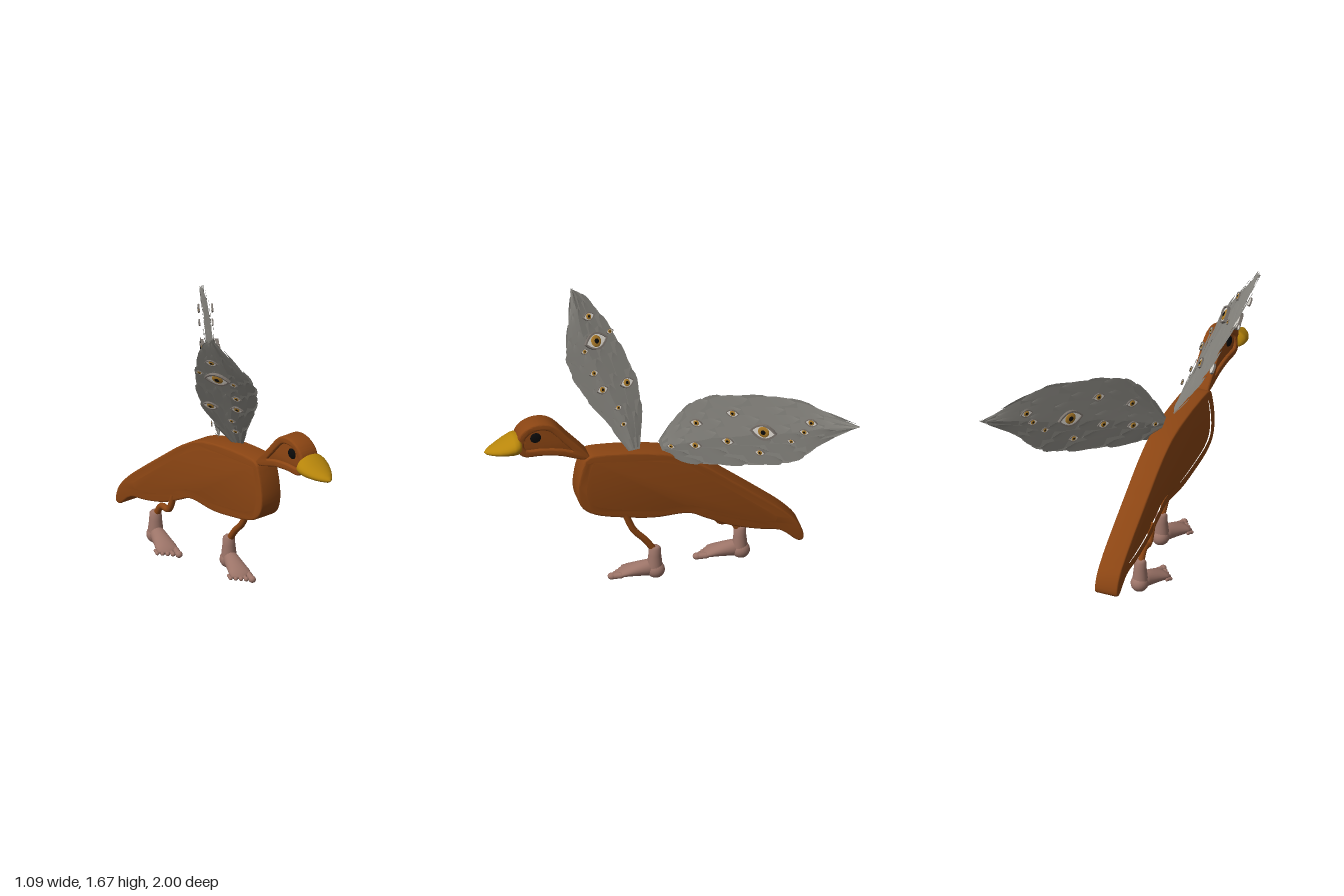
import * as THREE from 'three';
import { toCreasedNormals, mergeGeometries } from 'three/addons/utils/BufferGeometryUtils.js';

const MID = -0.152; // x of the body's centre plane
const mat = (color, side = THREE.FrontSide) => new THREE.MeshStandardMaterial({ color, side });
const BROWN = mat(0x8b4513), GOLD = mat(0xb8860b), SKIN = mat(0x9c7468), BLACK = mat(0x0a0a0a);
const FEATHER = mat(0x85837d, THREE.DoubleSide), LID = mat(0x77706a, THREE.DoubleSide);
const WHITE = mat(0xd8d4cc), IRIS = mat(0xa87828);

function add(parent, name, geometry, material) {
  const mesh = new THREE.Mesh(geometry, material);
  mesh.name = name;
  parent.add(mesh);
  return mesh;
}

const spline2 = (pts, n) => new THREE.SplineCurve(pts.map(p => new THREE.Vector2(...p))).getPoints(n);

// Moves a closed outline inwards, keeping only the part in front of zMin
function inset(pts, d, zMin) {
  const s = Math.sign(THREE.ShapeUtils.area(pts)), n = pts.length;
  return pts.map((p, i) => {
    const t = pts[(i + 1) % n].clone().sub(pts[(i + n - 1) % n]).normalize();
    return new THREE.Vector2(p.x - t.y * d * s, p.y + t.x * d * s);
  }).filter(p => p.x > zMin);
}

// Side-profile slab, centred on the body's plane
function slab(shape, half, bevel) {
  const g = new THREE.ExtrudeGeometry(shape, {
    depth: 2 * (half - bevel), bevelThickness: bevel, bevelSize: bevel, bevelOffset: -bevel, bevelSegments: 3, curveSegments: 4,
  });
  g.translate(0, 0, bevel - half).rotateY(-Math.PI / 2).translate(MID, 0, 0);
  return toCreasedNormals(g, 0.7);
}

// Slab with a raised rim around a sunken panel
function rimmedPart(root, name, outline, half, zMin) {
  const pts = spline2([...outline, outline[0]], 90).slice(0, -1);
  const rim = new THREE.Shape(pts);
  rim.holes.push(new THREE.Path(inset(pts, 0.042, zMin)));
  add(root, name + 'Rim', slab(rim, half, 0.01), BROWN);
  add(root, name + 'Panel', slab(new THREE.Shape(inset(pts, 0.025, zMin - 0.02)), half - 0.016, 0.008), BROWN);
}

// Elliptical sections [z, y, rx, ry] joined along z
function loft(sections, sides = 24) {
  const pos = [], idx = [];
  sections.forEach(([z, y, rx, ry], i) => {
    for (let j = 0; j < sides; j++) {
      const a = j / sides * Math.PI * 2;
      pos.push(Math.cos(a) * rx, y + Math.sin(a) * ry, z);
      if (!i) continue;
      const k = (j + 1) % sides, p = (i - 1) * sides, q = i * sides;
      idx.push(p + j, p + k, q + j, p + k, q + k, q + j);
    }
  });
  const g = new THREE.BufferGeometry();
  g.setAttribute('position', new THREE.Float32BufferAttribute(pos, 3));
  g.setIndex(idx);
  g.computeVertexNormals();
  return g;
}

const ball = (x, y, z, rx, ry, rz) => new THREE.SphereGeometry(1, 20, 14).scale(rx, ry, rz).translate(x, y, z);

// Leg with a bare five-toed foot, turned slightly outwards
function legAndFoot(root, name, x, z, legTop) {
  const foot = new THREE.Group();
  foot.name = name + 'Foot';
  foot.position.set(x, 0, z);
  foot.rotation.y = -0.3;
  const ankle = [[0, 0.2], [0.022, 0.203], [0.034, 0.19], [0.036, 0.15], [0.042, 0.1], [0.045, 0.05]].reverse();
  add(foot, 'ankle', new THREE.LatheGeometry(ankle.map(p => new THREE.Vector2(...p)), 20), SKIN);
  add(foot, 'heel', ball(0, 0.055, -0.005, 0.05, 0.05, 0.052), SKIN);
  add(foot, 'instep', loft([[-0.02, 0.06, 0, 0], [-0.01, 0.062, 0.036, 0.045], [0.04, 0.065, 0.044, 0.048],
    [0.1, 0.054, 0.052, 0.04], [0.16, 0.041, 0.062, 0.028], [0.19, 0.034, 0.06, 0.02], [0.21, 0.03, 0, 0]]), SKIN);
  for (let i = 0; i < 5; i++) {
    const r = i ? 0.0125 - i * 0.0008 : 0.018, len = 0.056 - i * 0.006;
    const toe = new THREE.CapsuleGeometry(r, len, 5, 10).rotateX(Math.PI / 2 + 0.15);
    add(foot, 'toe', toe.translate(0.045 - i * 0.026 + (i ? -0.004 : 0), 0.028, 0.212 - i * 0.011), SKIN);
    add(foot, 'toeTip', ball(0.045 - i * 0.026 + (i ? -0.004 : 0), 0.025, 0.238 - i * 0.014, r * 1.15, r * 1.1, r * 1.3), SKIN);
  }
  root.add(foot);
  const [ty, tz] = legTop;
  const path = new THREE.CatmullRomCurve3([new THREE.Vector3(x, ty + 0.03, tz + 0.01), new THREE.Vector3(x, ty - 0.08, tz - 0.04),
    new THREE.Vector3(x, 0.25, z + 0.055), new THREE.Vector3(x, 0.18, z + 0.005)]);
  add(root, name + 'Leg', new THREE.TubeGeometry(path, 16, 0.019, 12), BROWN);
}

// Almond outline
function almond(w, h) {
  const s = new THREE.Shape();
  s.moveTo(-w, 0);
  s.quadraticCurveTo(0, h * 2, w, 0);
  s.quadraticCurveTo(0, -h * 2, -w, 0);
  return s;
}

// Wing eye of half-width w facing +z
function wingEye(w) {
  const eye = new THREE.Group(), h = w * 0.62;
  eye.name = 'wingEye';
  const lid = almond(w, h);
  lid.holes.push(almond(w * 0.85, h * 0.78));
  add(eye, 'eyelid', new THREE.ExtrudeGeometry(lid, { depth: w * 0.2, bevelEnabled: false, curveSegments: 8 }), LID);
  add(eye, 'eyeWhite', new THREE.ExtrudeGeometry(almond(w * 0.88, h * 0.82), { depth: w * 0.1, bevelEnabled: false, curveSegments: 8 }), WHITE);
  add(eye, 'iris', ball(0, 0, w * 0.1, w * 0.42, w * 0.42, w * 0.1), IRIS);
  add(eye, 'pupil', ball(0, 0, w * 0.17, w * 0.19, w * 0.19, w * 0.07), BLACK);
  return eye;
}

// Wing on the plane x = x0 + by * y + bz * z; the edges run from root to tip as [z, y]
function wing(root, name, [x0, by, bz], lower, upper, eyes) {
  const group = new THREE.Group();
  group.name = name;
  const lo = new THREE.SplineCurve(lower.map(p => new THREE.Vector2(...p)));
  const up = new THREE.SplineCurve(upper.map(p => new THREE.Vector2(...p)));
  const normal = new THREE.Vector3(1, -by, -bz).normalize();
  const onPlane = (z, y, lift) => new THREE.Vector3(x0 + by * y + bz * z, y, z).addScaledVector(normal, lift);
  const at = (u, v, lift = 0) => {
    const t = Math.min(u, 1), p = lo.getPoint(t).lerp(up.getPoint(t), v);
    return onPlane(p.x, p.y, lift);
  };
  // Patch between u0 and u1 whose middle line and half-width follow rules
  const patch = (nu, nv, rule) => {
    const pos = [], idx = [];
    for (let i = 0; i <= nu; i++) for (let j = 0; j <= nv; j++) {
      pos.push(...rule(i / nu, j / nv).toArray());
      if (i && j) {
        const d = i * (nv + 1) + j, c = d - 1, b = d - nv - 1, a = b - 1;
        idx.push(a, b, c, b, d, c);
      }
    }
    const g = new THREE.BufferGeometry();
    g.setAttribute('position', new THREE.Float32BufferAttribute(pos, 3));
    g.setIndex(idx);
    g.computeVertexNormals();
    return g;
  };
  add(group, 'wingSheet', patch(28, 4, (u, v) => at(u, v)), FEATHER);
  // Overlapping feathers; the outer ones splay past the edge
  const feathers = [];
  for (let i = 0; i < 11; i++) for (let j = 0; j < 7; j++) {
    const u0 = 0.01 + i * 0.08 + (j % 2) * 0.03, v0 = 0.06 + j / 6 * 0.88, side = j < 3 ? -1 : 1;
    const face = (i + j) % 2 ? 1 : -1;
    feathers.push(patch(5, 2, (s, w) => {
      const half = 0.1 * Math.sqrt(Math.max(0, 1 - s * s)) * (0.75 + 0.5 * s);
      const splay = (v0 - 0.5) * 0.16 * s;
      return at(u0 + 0.16 * s, v0 + splay + (w - 0.5) * 2 * half, face * (0.003 + 0.007 * s - (w - 0.5) * side * 0.004));
    }));
  }
  add(group, 'feathers', mergeGeometries(feathers), FEATHER);
  // Eyes on both faces
  for (const [z, y, w] of eyes) for (const f of [1, -1]) {
    const eye = wingEye(w), n = normal.clone().multiplyScalar(f);
    const right = new THREE.Vector3(0, 1, 0).cross(n).normalize();
    eye.quaternion.setFromRotationMatrix(new THREE.Matrix4().makeBasis(right, n.clone().cross(right), n));
    eye.position.copy(onPlane(z, y, f * 0.034));
    group.add(eye);
  }
  root.add(group);
}

export function createModel() {
  const root = new THREE.Group();
  root.name = 'bird';

  // Body and head
  rimmedPart(root, 'body', [[0.44, 0.79], [0.465, 0.7], [0.475, 0.59], [0.445, 0.5], [0.355, 0.445], [0.19, 0.41], [0.03, 0.39],
    [-0.155, 0.395], [-0.26, 0.35], [-0.4, 0.285], [-0.56, 0.24], [-0.69, 0.215], [-0.785, 0.14], [-0.825, 0.155], [-0.8, 0.24],
    [-0.72, 0.33], [-0.61, 0.42], [-0.4, 0.58], [-0.235, 0.7], [-0.075, 0.78], [0.14, 0.82], [0.355, 0.833], [0.42, 0.82]], 0.07, -0.7);
  rimmedPart(root, 'head', [[0.82, 0.98], [0.8, 1.02], [0.755, 1.055], [0.685, 1.07], [0.605, 1.045], [0.515, 0.95], [0.4, 0.82],
    [0.45, 0.812], [0.57, 0.85], [0.675, 0.865], [0.78, 0.87], [0.82, 0.92]], 0.059, 0.5);
  for (const s of [1, -1]) add(root, 'eye', ball(MID + s * 0.044, 0.98, 0.713, 0.014, 0.031, 0.031), BLACK);

  // Beak
  const beak = loft([[0.795, 0.94, 0, 0], [0.797, 0.94, 0.075, 0.045], [0.815, 0.94, 0.095, 0.058], [0.84, 0.935, 0.097, 0.055],
    [0.88, 0.924, 0.088, 0.044], [0.92, 0.914, 0.07, 0.033], [0.955, 0.907, 0.048, 0.024], [0.985, 0.902, 0.022, 0.015], [1, 0.9, 0, 0]]);
  add(root, 'beak', beak.translate(MID, 0, 0), GOLD);

  // Legs
  legAndFoot(root, 'front', -0.097, 0.03, [0.4, 0.19]);
  legAndFoot(root, 'back', -0.207, -0.485, [0.33, -0.33]);

  // Wings
  const S = 0.026, M = 0.04, L = 0.08;
  wing(root, 'frontWing', [0.32, -0.62, 0.46],
    [[0.16, 0.8], [0.26, 0.965], [0.39, 1.15], [0.46, 1.29], [0.475, 1.39], [0.445, 1.53], [0.412, 1.67]],
    [[0.11, 0.8], [0.08, 0.965], [0.09, 1.13], [0.15, 1.29], [0.23, 1.45], [0.33, 1.6], [0.41, 1.67]],
    [[0.345, 1.515, M], [0.32, 1.39, L], [0.395, 1.36, S], [0.225, 1.41, S], [0.355, 1.245, 0.032], [0.315, 1.155, M],
      [0.16, 1.145, 0.05], [0.23, 1.045, S], [0.21, 0.96, S]]);
  wing(root, 'backWing', [-0.14, 0, -0.68],
    [[-0.02, 0.79], [-0.13, 0.76], [-0.34, 0.8], [-0.56, 0.86], [-0.69, 0.92], [-0.82, 1.05], [-1, 1.185]],
    [[0, 0.85], [-0.07, 0.98], [-0.155, 1.1], [-0.27, 1.18], [-0.45, 1.23], [-0.665, 1.265], [-0.84, 1.23], [-1, 1.186]],
    [[-0.535, 1.06, L], [-0.77, 1.174, M], [-0.38, 1.14, M], [-0.2, 1.035, M], [-0.67, 1.03, S], [-0.735, 1.105, 0.032],
      [-0.355, 0.955, M], [-0.515, 0.92, 0.032], [-0.195, 0.89, M], [-0.075, 0.853, S]]);
  return root;
}
